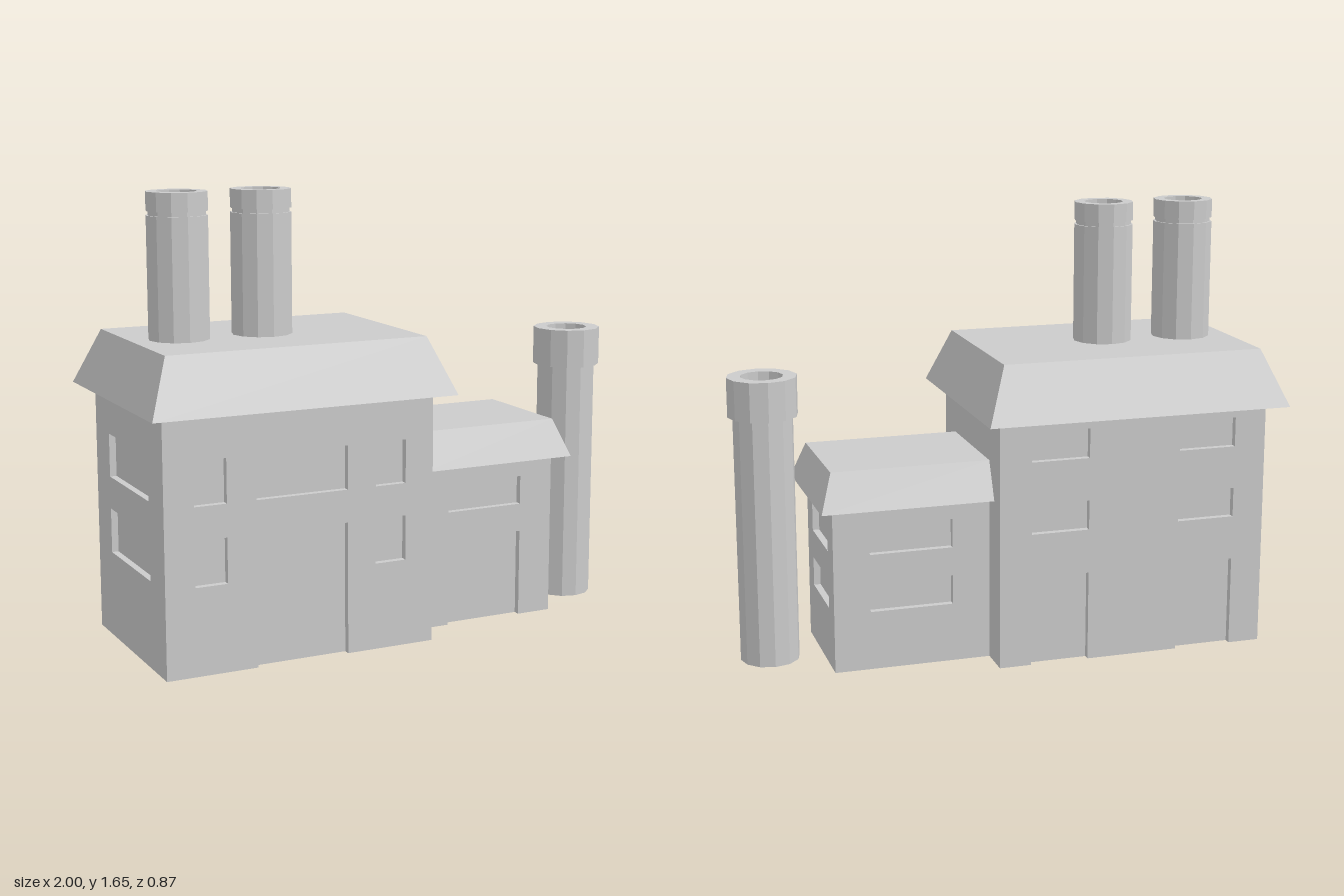
import * as THREE from 'three';

const material = new THREE.MeshStandardMaterial({ color: 0xcccccc, flatShading: true, side: THREE.DoubleSide });
const RECESS = 0.025;

function add(parent, name, geometry) {
  const mesh = new THREE.Mesh(geometry, material);
  mesh.name = name;
  parent.add(mesh);
  return mesh;
}

// Flat wall facing +z, turned by angle. Openings are [u0, u1, v0, v1]; v0 = 0 makes a doorway.
function addWall(parent, name, u0, u1, height, offset, angle, openings = []) {
  const wall = new THREE.Group();
  wall.name = name;
  wall.rotation.y = angle;
  parent.add(wall);

  const doors = openings.filter(o => o[2] === 0).sort((a, b) => a[0] - b[0]);
  const outline = [[u0, 0]];
  for (const [a, b, , top] of doors) outline.push([a, 0], [a, top], [b, top], [b, 0]);
  outline.push([u1, 0], [u1, height], [u0, height]);
  const shape = new THREE.Shape(outline.map(p => new THREE.Vector2(...p)));
  for (const [a, b, c, d] of openings.filter(o => o[2] > 0)) {
    shape.holes.push(new THREE.Path([[a, c], [a, d], [b, d], [b, c]].map(p => new THREE.Vector2(...p))));
  }
  add(wall, name + 'Face', new THREE.ShapeGeometry(shape).translate(0, 0, offset));

  // Recess behind each opening: a box without its front, and without a sill for doors
  for (const [a, b, c, d] of openings) {
    const box = new THREE.BoxGeometry(b - a, d - c, RECESS);
    const index = Array.from(box.index.array);
    index.splice(24, 6);
    if (c === 0) index.splice(18, 6);
    box.setIndex(index);
    box.clearGroups();
    box.translate((a + b) / 2, (c + d) / 2, offset - RECESS / 2);
    add(wall, c === 0 ? 'doorRecess' : 'windowRecess', box);
  }
}

// Hipped flat-topped roof: bottom and top are [x0, x1, halfDepth, y]
function addRoof(parent, name, bottom, top) {
  const geometry = new THREE.BoxGeometry(1, 1, 1);
  const p = geometry.attributes.position;
  for (let i = 0; i < p.count; i++) {
    const [x0, x1, half, y] = p.getY(i) > 0 ? top : bottom;
    p.setXYZ(i, p.getX(i) > 0 ? x1 : x0, y, Math.sign(p.getZ(i)) * half);
  }
  geometry.computeVertexNormals();
  add(parent, name, geometry);
}

function addStack(parent, name, x, profile) {
  const points = profile.map(([r, y]) => new THREE.Vector2(r, y));
  add(parent, name, new THREE.LatheGeometry(points, 12)).position.set(x, 0, 0.007);
}

// Openings for every combination of columns and rows
const grid = (columns, rows) => columns.flatMap(c => rows.map(r => [...c, ...r]));
const mirror = columns => columns.map(([a, b]) => [-b, -a]);

export function createModel() {
  const model = new THREE.Group();
  model.name = 'factory';

  // Main building
  const main = new THREE.Group();
  main.name = 'mainBuilding';
  model.add(main);
  const rows = [[0.32, 0.485], [0.605, 0.765]];
  addWall(main, 'mainFrontWall', -0.94, 0.09, 0.93, 0.357, 0, [
    ...grid([[-0.83, -0.71], [-0.14, -0.02]], rows),
    ...grid([[-0.6, -0.25]], [[0, 0.485], [0.605, 0.765]]),
  ]);
  addWall(main, 'mainBackWall', -0.09, 0.94, 0.93, 0.357, Math.PI,
    grid(mirror([[-0.82, -0.6], [-0.25, -0.03]]), [[0, 0.335], [0.5, 0.61], [0.77, 0.88]]));
  addWall(main, 'mainRightWall', -0.357, 0.357, 0.93, 0.94, -Math.PI / 2, grid([[-0.21, 0.21]], rows));
  addWall(main, 'mainLeftWall', -0.357, 0.357, 0.93, 0.09, Math.PI / 2);
  addRoof(main, 'mainRoof', [-1, 0.15, 0.436, 0.925], [-0.917, 0.07, 0.341, 1.13]);

  // Annex
  const annex = new THREE.Group();
  annex.name = 'annex';
  model.add(annex);
  const annexRows = [[0.22, 0.33], [0.437, 0.545]];
  addWall(annex, 'annexFrontWall', 0.09, 0.675, 0.62, 0.225, 0, grid([[0.23, 0.54]], [[0, 0.33], [0.437, 0.545]]));
  addWall(annex, 'annexBackWall', -0.675, -0.09, 0.62, 0.225, Math.PI, grid([[-0.54, -0.23]], annexRows));
  addWall(annex, 'annexLeftWall', -0.225, 0.225, 0.62, 0.675, Math.PI / 2, grid([[-0.136, 0.136]], annexRows));
  addRoof(annex, 'annexRoof', [0.09, 0.725, 0.287, 0.617], [0.09, 0.677, 0.224, 0.755]);

  // Twin stacks on the roof, with a narrow groove under the rim
  for (const x of [-0.742, -0.425]) {
    addStack(model, 'roofStack', x, [
      [0, 1.13], [0.11, 1.13], [0.11, 1.567], [0.103, 1.567], [0.103, 1.582],
      [0.11, 1.582], [0.11, 1.65], [0.072, 1.65], [0.072, 1.45], [0, 1.45],
    ]);
  }

  // Free-standing stack with a wide collar
  addStack(model, 'groundStack', 0.872, [
    [0, 0], [0.11, 0], [0.11, 0.925], [0.128, 0.925],
    [0.128, 1.07], [0.078, 1.07], [0.078, 0.87], [0, 0.87],
  ]);

  return model;
}
